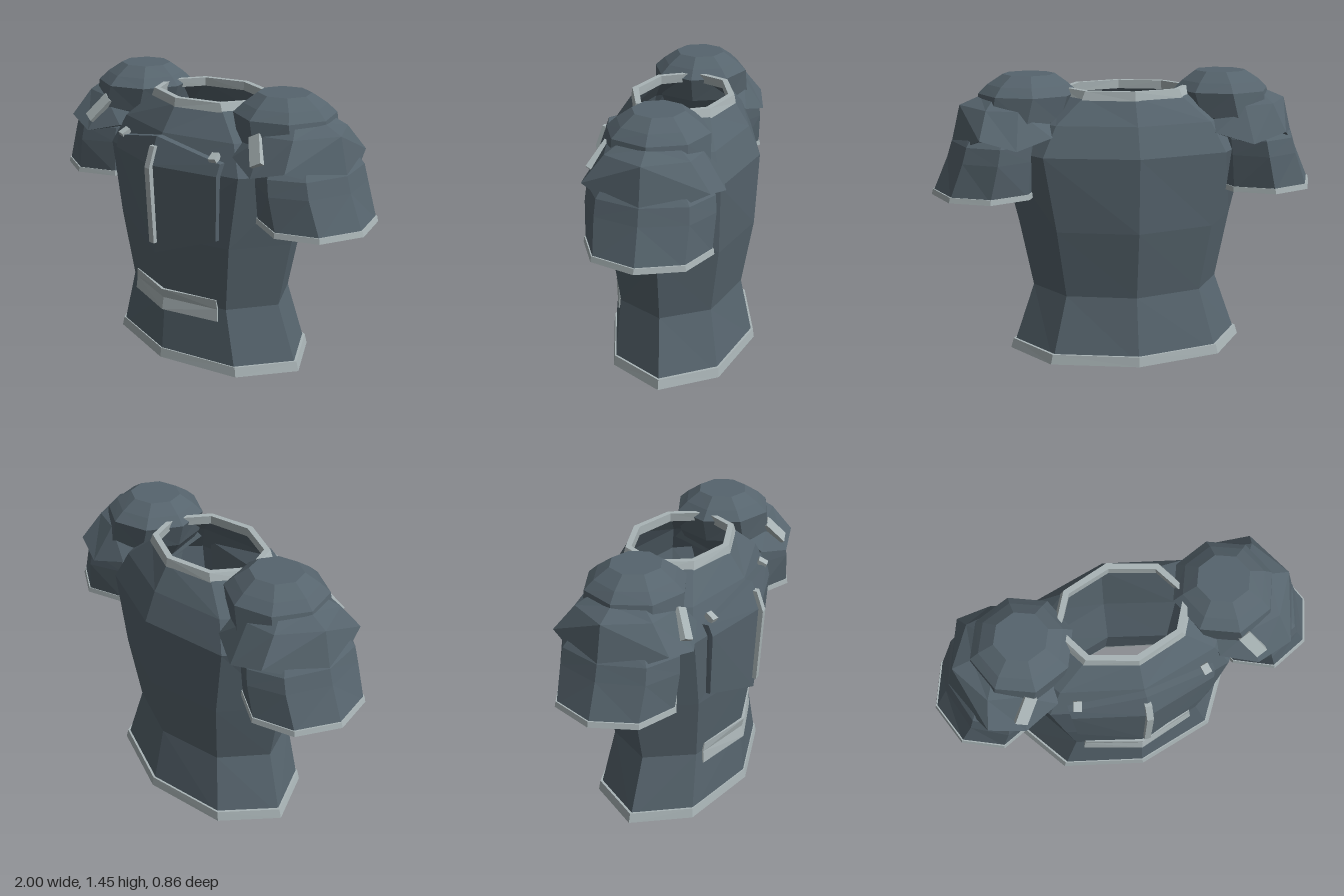
import * as THREE from 'three';
import { mergeGeometries } from 'three/addons/utils/BufferGeometryUtils.js';
import { ConvexGeometry } from 'three/addons/geometries/ConvexGeometry.js';

const SIDES = 8;
const V = (x, y, z) => new THREE.Vector3(x, y, z);

// Octagonal ring; tilt lifts the ring on its +x side
function ring(y, rx, rz, cx = 0, cz = -0.02, tilt = 0) {
  return Array.from({ length: SIDES }, (_, i) => {
    const a = (i / SIDES) * Math.PI * 2;
    return V(cx + rx * Math.cos(a), y + tilt * Math.cos(a), cz + rz * Math.sin(a));
  });
}

// Ring from five [x, y, z] points on the +z half, mirrored about z = -0.02
function halfRing(pts) {
  const front = pts.map(p => V(...p));
  const back = front.slice(1, 4).reverse().map(p => V(p.x, p.y, -0.04 - p.z));
  return [...front, ...back];
}

// Skin between rings, from bottom to top on the outside
function loft(rings, { closed = false, cap = false } = {}) {
  const pos = [];
  const tri = (...ps) => ps.forEach(p => pos.push(p.x, p.y, p.z));
  const n = closed ? rings.length : rings.length - 1;
  for (let i = 0; i < n; i++) {
    const lo = rings[i], up = rings[(i + 1) % rings.length];
    for (let j = 0; j < SIDES; j++) {
      const k = (j + 1) % SIDES;
      if (j < SIDES / 2) { tri(lo[j], up[j], lo[k]); tri(lo[k], up[j], up[k]); }
      else { tri(lo[j], up[j], up[k]); tri(lo[j], up[k], lo[k]); }
    }
  }
  if (cap) {
    const top = rings.at(-1);
    for (let j = 1; j < SIDES - 1; j++) tri(top[0], top[j + 1], top[j]);
  }
  const g = new THREE.BufferGeometry();
  g.setAttribute('position', new THREE.Float32BufferAttribute(pos, 3));
  g.computeVertexNormals();
  return g;
}

// Mirror a non-indexed geometry in x and restore its winding
function mirrorX(geometry) {
  const g = geometry.clone().scale(-1, 1, 1);
  const p = g.attributes.position;
  for (let i = 0; i < p.count; i += 3) {
    const b = V().fromBufferAttribute(p, i + 1), c = V().fromBufferAttribute(p, i + 2);
    p.setXYZ(i + 1, c.x, c.y, c.z);
    p.setXYZ(i + 2, b.x, b.y, b.z);
  }
  g.computeVertexNormals();
  return g;
}

// Convex slab: front points and the same points pushed back
const slab = (pts, depth) =>
  new ConvexGeometry(pts.flatMap(([x, y, z]) => [V(x, y, z), V(x, y, z - depth)]));

export function createModel() {
  const model = new THREE.Group();
  model.name = 'torsoArmor';
  const plateMat = new THREE.MeshStandardMaterial({ color: 0x56646d, flatShading: true, side: THREE.DoubleSide });
  const trimMat = new THREE.MeshStandardMaterial({ color: 0xa9b4b6, flatShading: true, side: THREE.DoubleSide });
  const add = (name, geometry, material, parent = model) => {
    const mesh = new THREE.Mesh(geometry, material);
    mesh.name = name;
    parent.add(mesh);
    return mesh;
  };

  // Torso shell: [y, rx, rz, cz], outside going up then inside going down
  const profile = [
    [0.01, 0.605, 0.385, -0.035], [0.34, 0.49, 0.335, -0.015], [0.69, 0.56, 0.39, -0.02],
    [1.07, 0.65, 0.405, -0.025], [1.22, 0.55, 0.345, -0.025], [1.35, 0.345, 0.26, -0.03],
  ];
  const outer = profile.map(([y, rx, rz, cz]) => ring(y, rx, rz, 0, cz));
  const inner = profile.map(([y, rx, rz, cz]) => ring(y, rx - 0.03, rz - 0.03, 0, cz)).reverse();
  add('torso', loft([...outer, ...inner], { closed: true }), plateMat);

  // Hem and collar bands
  add('hemTrim', loft([
    ring(0, 0.62, 0.395, 0, -0.035), ring(0.05, 0.605, 0.388, 0, -0.035),
    ring(0.05, 0.56, 0.35, 0, -0.035), ring(0, 0.575, 0.355, 0, -0.035),
  ], { closed: true }), trimMat);
  add('collarTrim', loft([
    ring(1.335, 0.36, 0.27, 0, -0.03), ring(1.38, 0.335, 0.262, 0, -0.03),
    ring(1.38, 0.305, 0.23, 0, -0.03), ring(1.335, 0.31, 0.23, 0, -0.03),
  ], { closed: true }), trimMat);

  // Chest plate, folded along its centre line
  const sides = [-1, 1];
  add('chestPlate', slab([
    [0, 1.21, 0.36], [0, 1.07, 0.41], [0, 0.6, 0.387],
    ...sides.flatMap(s => [[s * 0.37, 1.13, 0.293], [s * 0.365, 1.07, 0.313], [s * 0.345, 0.73, 0.295]]),
  ], 0.05), plateMat);
  add('chestRidge', slab(sides.flatMap(s => [
    [s * 0.017, 1.165, 0.393], [s * 0.017, 1.06, 0.43], [s * 0.017, 0.66, 0.407],
  ]), 0.04), trimMat);
  for (const s of sides) {
    const stud = add('chestStud', new THREE.BoxGeometry(0.04, 0.03, 0.05), trimMat);
    stud.position.set(s * 0.325, 1.15, 0.285);
    stud.rotation.set(0.5, s * 0.25, 0);
  }

  // Belt band, bent around the waist
  const beltParts = [];
  for (const s of sides) {
    for (const [y, z, x] of [[0.27, 0.342, 0.31], [0.385, 0.342, 0.298]]) {
      beltParts.push(slab([
        [0, y, z], [0, 0.335, 0.33], [s * x, y, z - 0.095], [s * 0.304, 0.335, 0.242],
      ], 0.02));
    }
  }
  add('beltBand', mergeGeometries(beltParts), trimMat);

  // Shoulder parts, shaped for the left (+x) side
  const dome = loft([
    ring(1.14, 0.2, 0.24, 0.56), ring(1.23, 0.24, 0.255, 0.53), ring(1.355, 0.25, 0.25, 0.5),
    ring(1.40, 0.205, 0.2, 0.5), ring(1.45, 0.132, 0.127, 0.495),
  ], { cap: true });

  // Pointed plate over the sleeve with a zigzag lower edge
  const guard = loft([
    ring(1.13, 0.2, 0.22, 0.62),
    halfRing([[0.905, 1.05, -0.02], [0.765, 1.165, 0.28], [0.59, 1.115, 0.32], [0.41, 1.165, 0.25], [0.36, 1.12, -0.02]]),
    halfRing([[0.845, 1.30, -0.02], [0.725, 1.295, 0.18], [0.57, 1.29, 0.21], [0.40, 1.22, 0.18], [0.36, 1.2, -0.02]]),
    ring(1.345, 0.2, 0.19, 0.54),
  ]);

  // Open flared sleeve
  const sleeveRings = d => [
    ring(0.86, 0.272 - d, 0.302 - d, 0.72), ring(1.04, 0.235 - d, 0.312 - d, 0.68),
    ring(1.12, 0.225 - d, 0.305 - d, 0.665), ring(1.26, 0.17 - d, 0.2 - d, 0.62),
  ];
  const sleeve = loft([...sleeveRings(0), ...sleeveRings(0.025).reverse()], { closed: true });
  const cuff = loft([
    ring(0.848, 0.28, 0.312, 0.72), ring(0.875, 0.275, 0.308, 0.718),
    ring(0.875, 0.24, 0.27, 0.718), ring(0.848, 0.245, 0.275, 0.72),
  ], { closed: true });

  // Slanted badge on the front of the guard
  const along = V(0.08, -0.115, 0.075).normalize();
  const across = V(0.055, 0.03, -0.015);
  across.addScaledVector(along, -across.dot(along)).normalize();
  const badge = new THREE.BoxGeometry(0.155, 0.062, 0.035).toNonIndexed();
  badge.applyMatrix4(new THREE.Matrix4().makeBasis(along, across, along.clone().cross(across)));
  badge.translate(0.567, 1.228, 0.252);

  for (const s of sides) {
    const shoulder = new THREE.Group();
    shoulder.name = s > 0 ? 'leftShoulder' : 'rightShoulder';
    model.add(shoulder);
    const part = (name, g, mat) => add(name, s > 0 ? g : mirrorX(g), mat, shoulder);
    part('shoulderDome', dome, plateMat);
    part('shoulderGuard', guard, plateMat);
    part('sleeve', sleeve, plateMat);
    part('sleeveCuff', cuff, trimMat);
    part('shoulderBadge', badge, trimMat);
  }
  return model;
}
